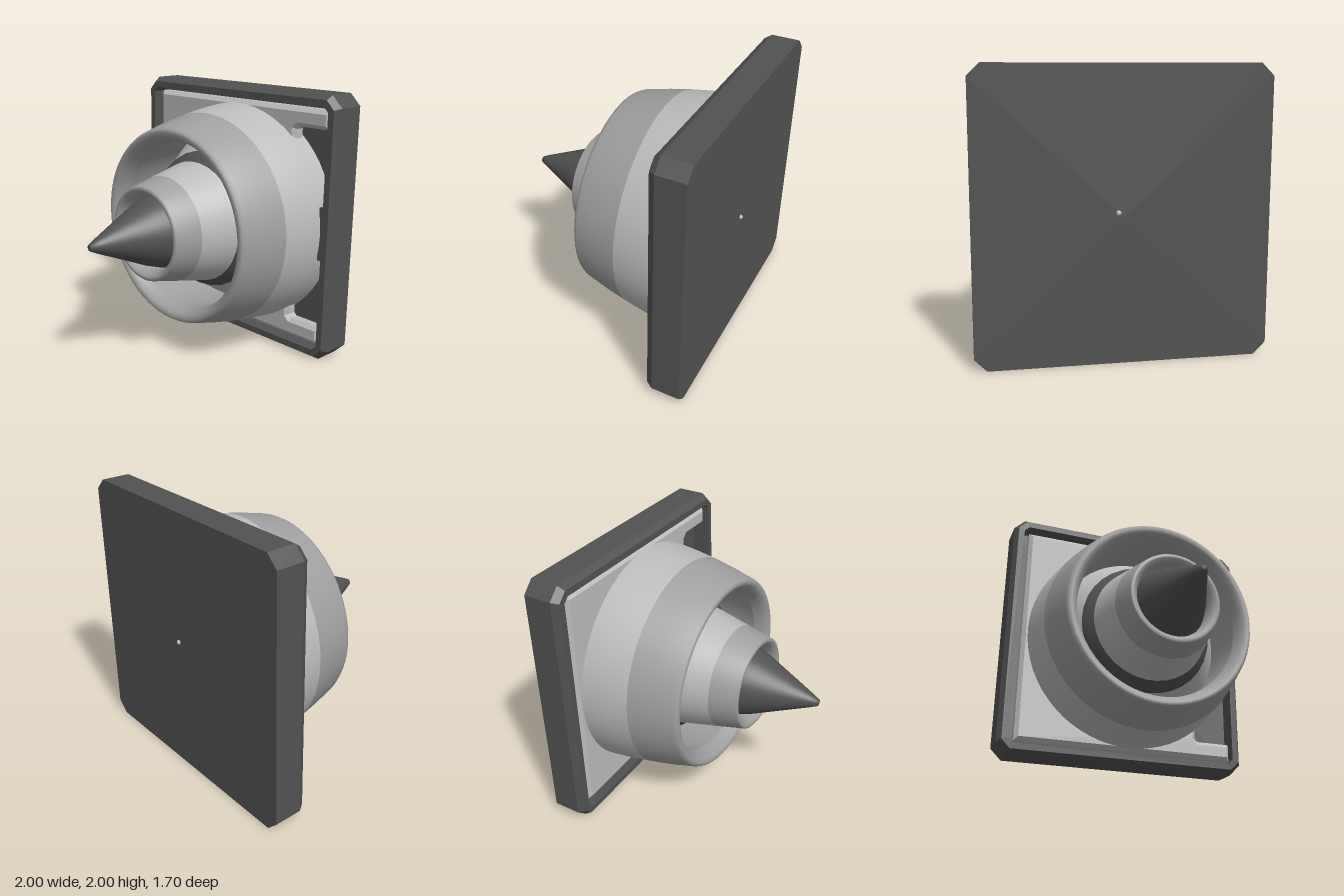
import * as THREE from 'three';

const material = (name, color) => {
  const m = new THREE.MeshStandardMaterial({ color });
  m.name = name;
  return m;
};

export function createModel() {
  const model = new THREE.Group();
  const dark = material('dark grey', 0x525252);
  const light = material('light grey', 0xbcbcbc);
  const mid = material('middle grey', 0xa0a0a0);

  const add = (name, geometry, mat, parent = model) => {
    const mesh = new THREE.Mesh(geometry, mat);
    mesh.name = name;
    parent.add(mesh);
    return mesh;
  };

  // Square loop with cut corners, counterclockwise
  const loop = (s) => {
    const c = Math.max(0, 0.085 - (1 - s) * 0.586), t = Math.max(0, s - c);
    return [[s, -t], [s, t], [t, s], [-t, s], [-s, t], [-s, -t], [-t, -s], [t, -s]];
  };

  // Base tray: loops from the back centre, round the rim, to the recess floor
  const rings = [[0, -0.83], [1, -0.83], [1, -0.62], [0.968, -0.57], [0.92, -0.57], [0.92, -0.71], [0, -0.71]];
  const verts = [];
  for (let k = 0; k < rings.length - 1; k++) {
    const [s0, z0] = rings[k], [s1, z1] = rings[k + 1];
    const p = loop(s0), q = loop(s1);
    for (let i = 0; i < 8; i++) {
      const j = (i + 1) % 8;
      const a = [...p[i], z0], b = [...p[j], z0], c = [...q[j], z1], d = [...q[i], z1];
      if (s0 > 0) verts.push(...a, ...b, ...d);
      if (s1 > 0) verts.push(...b, ...c, ...d);
      if (s0 === 0) verts.push(...a, ...c, ...d);
    }
  }
  const trayGeo = new THREE.BufferGeometry();
  trayGeo.setAttribute('position', new THREE.Float32BufferAttribute(verts, 3));
  trayGeo.computeVertexNormals();
  add('baseTray', trayGeo, dark).position.y = 1;

  // Small stop on the right inner rim
  add('rimStop', new THREE.BoxGeometry(0.035, 0.4, 0.13), dark).position.set(0.907, 1, -0.637);

  // C-shaped raised panel with bevelled edges
  const bevel = 0.03;
  const outline = [[-0.84, -0.86], [0.88, -0.86], [0.88, -0.78], [0.62, -0.78], [0.58, -0.74],
    [0.58, 0.74], [0.62, 0.78], [0.88, 0.78], [0.88, 0.86], [-0.84, 0.86]];
  const panelShape = new THREE.Shape(outline.map(([x, y]) => new THREE.Vector2(x, y)));
  const panelGeo = new THREE.ExtrudeGeometry(panelShape, {
    depth: 0.06, bevelEnabled: true, bevelSize: bevel, bevelThickness: bevel, bevelSegments: 1,
  });
  add('raisedPanel', panelGeo, light).position.set(0, 1, -0.69);

  // Turned parts share one axis; profiles are [radius, z] from back to front
  const engine = new THREE.Group();
  engine.name = 'engine';
  engine.position.set(0.04, 1, 0);
  model.add(engine);
  const turned = (name, profile, mat, segments = 64) => {
    const g = new THREE.LatheGeometry(profile.map(([r, z]) => new THREE.Vector2(r, z)), segments);
    g.rotateX(Math.PI / 2);
    return add(name, g, mat, engine);
  };

  // Outer cowl
  turned('cowlRear', [[0.875, -0.71], [0.865, -0.57], [0.846, -0.41], [0.82, -0.25]], light);
  turned('cowlFront', [[0.82, -0.25], [0.785, -0.08], [0.745, 0.08], [0.732, 0.105], [0.71, 0.115],
    [0.68, 0.1], [0.655, 0.06], [0.64, 0]], mid);
  turned('cowlInside', [[0.64, 0], [0.66, -0.2], [0.68, -0.7]], mid);

  // Inner body, stepping forward from the duct floor
  turned('innerBodyRear', [[0.69, -0.5], [0.515, -0.22]], light);
  turned('innerBodyBand', [[0.53, -0.24], [0.515, -0.2], [0.455, -0.13]], dark, 32);
  turned('coreRear', [[0.465, -0.15], [0.397, 0.16]], light);
  turned('coreFront', [[0.397, 0.16], [0.352, 0.362], [0.338, 0.372], [0.32, 0.368],
    [0.295, 0.34], [0.28, 0.29], [0.278, 0.2]], mid);

  // Pointed centre plug
  turned('centrePlug', [[0.285, 0.22], [0.235, 0.37], [0.05, 0.795]], dark);
  turned('plugTip', [[0.05, 0.795], [0.025, 0.848], [0, 0.85]], dark);

  // Tiny stud on the back
  add('rearStud', new THREE.SphereGeometry(0.018, 10, 8), light).position.set(0.04, 1.03, -0.83);

  return model;
}
